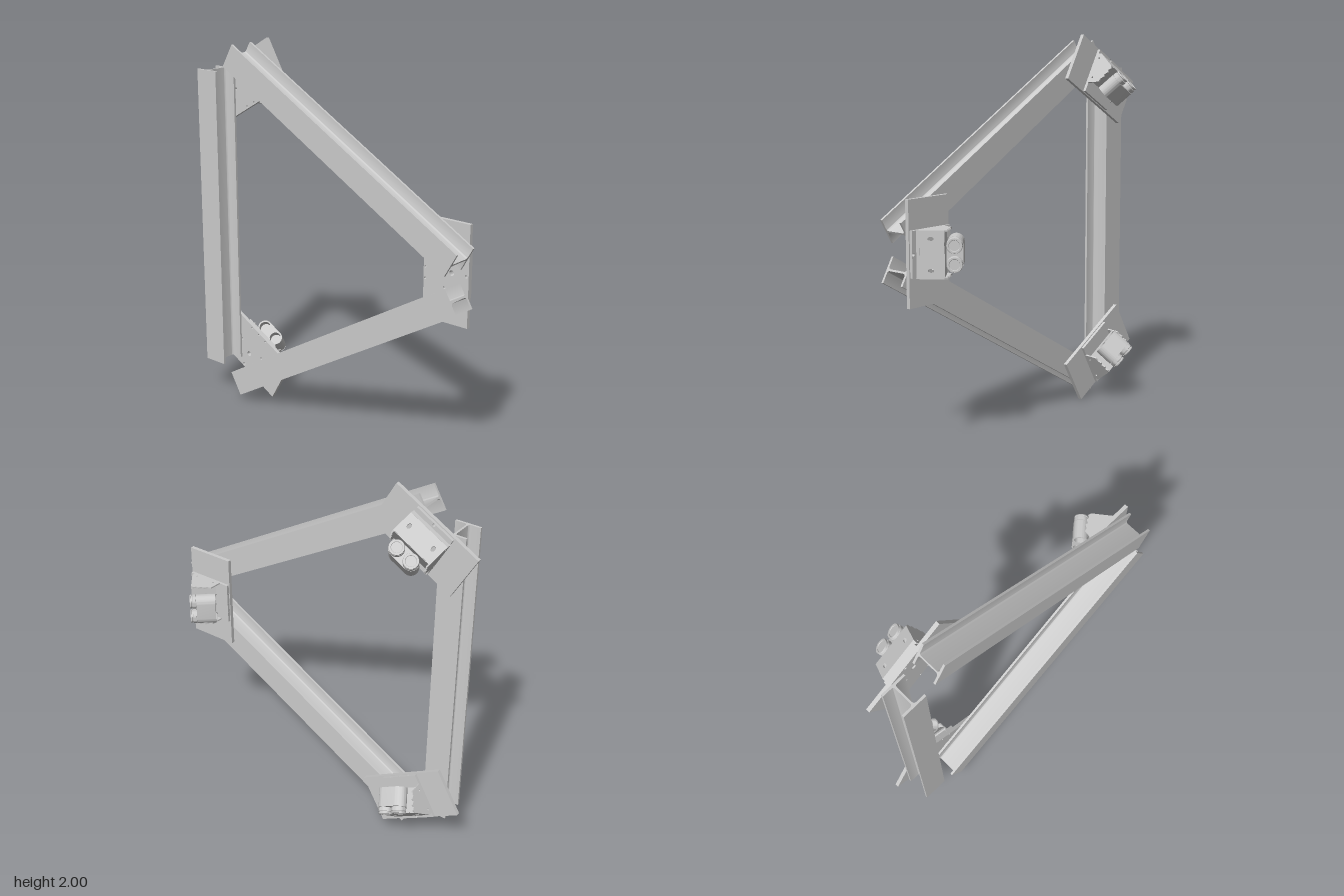
import * as THREE from 'three';
import { toCreasedNormals } from 'three/addons/utils/BufferGeometryUtils.js';

const CX = -0.154; // centre of the triangle; the three corners repeat around it
const material = new THREE.MeshStandardMaterial({ color: 0xcccccc, side: THREE.DoubleSide });

function add(parent, name, geometry, x = 0, y = 0, z = 0) {
  const mesh = new THREE.Mesh(geometry, material);
  mesh.name = name;
  mesh.position.set(x, y, z);
  parent.add(mesh);
  return mesh;
}

function extrude(shape, depth) {
  const g = new THREE.ExtrudeGeometry(shape, { depth, bevelEnabled: false, curveSegments: 12 });
  return toCreasedNormals(g, 0.6);
}

function circleHole(shape, x, y, r) {
  shape.holes.push(new THREE.Path().absarc(x, y, r, 0, Math.PI * 2, true));
}

function polygon(points) {
  return new THREE.Shape(points.map(([x, y]) => new THREE.Vector2(x, y)));
}

function rectangle(x0, x1, y0, y1) {
  return polygon([[x0, y0], [x1, y0], [x1, y1], [x0, y1]]);
}

// I-section with filleted web, standing upright
function beamGeometry() {
  const W = 0.0675, D = 0.0715, d = 0.0595, w = 0.005, r = 0.014, length = 1.64;
  const s = new THREE.Shape();
  s.moveTo(-W, -D);
  s.lineTo(W, -D);
  s.lineTo(W, -d);
  s.lineTo(w + r, -d);
  s.quadraticCurveTo(w, -d, w, -d + r);
  s.lineTo(w, d - r);
  s.quadraticCurveTo(w, d, w + r, d);
  s.lineTo(W, d);
  s.lineTo(W, D);
  s.lineTo(-W, D);
  s.lineTo(-W, d);
  s.lineTo(-w - r, d);
  s.quadraticCurveTo(-w, d, -w, d - r);
  s.lineTo(-w, -d + r);
  s.quadraticCurveTo(-w, -d, -w - r, -d);
  s.lineTo(-W, -d);
  s.closePath();
  return extrude(s, length).translate(0, 0, -length / 2).rotateX(-Math.PI / 2);
}

// Corner plate and bracket foot share one drilling pattern
function drill(shape) {
  circleHole(shape, 0.909, 0, 0.014);
  for (const y of [-0.058, 0, 0.058]) circleHole(shape, 0.755, y, 0.006);
  for (const y of [-0.083, 0.083]) circleHole(shape, 0.868, y, 0.007);
  circleHole(shape, 0.992, 0, 0.008);
  return shape;
}

// Twin-barrel unit: local +x runs from the open bores to the caps
function twinBarrel() {
  const unit = new THREE.Group();
  unit.name = 'twinBarrelUnit';
  const r = 0.039, off = 0.045;
  const s = new THREE.Shape();
  s.absarc(off, 0, r, -Math.PI / 2, Math.PI / 2, false);
  s.absarc(-off, 0, r, Math.PI / 2, Math.PI * 1.5, false);
  s.closePath();
  for (const x of [-off, off]) circleHole(s, x, 0, 0.031);
  add(unit, 'barrelHousing', extrude(s, 0.1).rotateY(Math.PI / 2), -0.066);

  // Stepped plug inside each bore and grooved cap at the far end
  const profile = [[0, -0.03], [0.031, -0.03], [0.031, 0.037], [0.038, 0.037], [0.038, 0.055],
    [0.034, 0.057], [0.034, 0.061], [0.038, 0.063], [0.036, 0.069], [0.027, 0.069],
    [0.025, 0.066], [0, 0.066]].map(([a, b]) => new THREE.Vector2(a, b));
  const cap = toCreasedNormals(new THREE.LatheGeometry(profile, 28), 0.5).rotateZ(-Math.PI / 2);
  for (const z of [-off, off]) add(unit, 'barrelCap', cap, 0, 0, z);
  return unit;
}

// Bracket frame: x outward from the centre, y away from the plate, z sideways
function bracket() {
  const g = new THREE.Group();
  g.name = 'bracket';
  g.rotation.x = -Math.PI / 2;
  const t = 0.008, half = 0.115;

  // Scalloped side cheeks
  const cheek = polygon([[0.80, 0], [0.974, 0], [0.974, 0.026], [0.904, 0.117], [0.886, 0.122],
    [0.876, 0.108], [0.862, 0.110], [0.85, 0.092], [0.836, 0.094], [0.824, 0.076], [0.806, 0.07]]);
  circleHole(cheek, 0.945, 0.02, 0.005);
  circleHole(cheek, 0.83, 0.02, 0.005);
  const cheekGeo = extrude(cheek, t);
  for (const z of [-half, half - t]) add(g, 'sideCheek', cheekGeo, 0, 0, z);

  // Sloped outer plate with two oval holes
  const outer = rectangle(-half, half, 0, 0.115);
  for (const x of [-0.075, 0.075]) {
    outer.holes.push(new THREE.Path().absellipse(x, 0.052, 0.01, 0.014, 0, Math.PI * 2, true));
  }
  const slope = Math.atan2(0.07, 0.091);
  const plate = add(g, 'slopedPlate', extrude(outer, t).translate(0, 0, -t).rotateY(Math.PI / 2), 0.974, 0.026, 0);
  plate.rotation.z = slope;
  add(g, 'outerLip', new THREE.BoxGeometry(t, 0.027, half * 2), 0.97, 0.0135, 0);

  // Seat under the barrels
  const seat = add(g, 'barrelSeat', new THREE.BoxGeometry(0.13, t, half * 2 - 0.002), 0.854, 0.073, 0);
  seat.rotation.z = 0.69;

  const unit = twinBarrel();
  unit.position.set(0.827, 0.114, 0);
  unit.rotation.z = 0.7;
  g.add(unit);
  return g;
}

export function createModel() {
  const model = new THREE.Group();
  model.name = 'triangularFrame';
  const beam = beamGeometry();
  const cornerPlate = extrude(drill(rectangle(0.745, 1.006, -0.2575, 0.2575)), 0.02);
  const foot = extrude(drill(rectangle(0.75, 1.0, -0.112, 0.112)), 0.015);

  // One beam, plate and bracket per third of the triangle
  for (let i = 0; i < 3; i++) {
    const third = new THREE.Group();
    third.name = 'frameThird';
    third.position.set(CX, 1, 0);
    third.rotation.z = (i * Math.PI * 2) / 3;
    add(third, 'beam', beam, -0.5785, 0, 0.1025);
    add(third, 'cornerPlate', cornerPlate, 0, 0, 0.011);
    add(third, 'bracketFoot', foot, 0, 0, -0.004);
    third.add(bracket());
    model.add(third);
  }
  return model;
}
